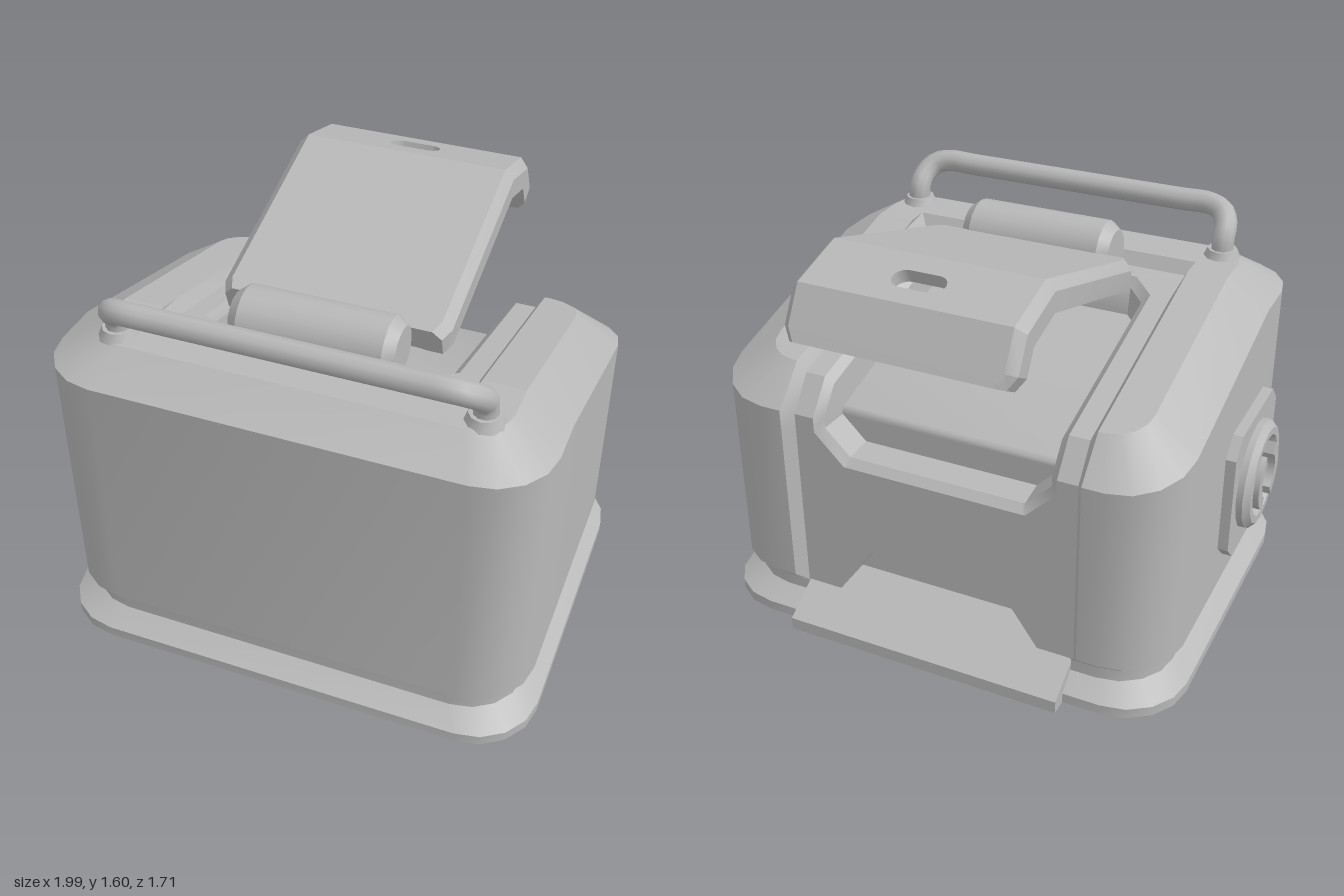
import * as THREE from 'three';
import { toCreasedNormals } from 'three/addons/utils/BufferGeometryUtils.js';

const grey = new THREE.MeshStandardMaterial({ color: 0xb8b8b8, side: THREE.DoubleSide });
grey.name = 'light grey';

function add(parent, name, geometry, crease = 0.6) {
  const mesh = new THREE.Mesh(toCreasedNormals(geometry, crease), grey);
  mesh.name = name;
  parent.add(mesh);
  return mesh;
}

// Skin between rows of [x, y, z] points
function loft(rows, closed = false, skip = () => false) {
  const n = rows[0].length, index = [];
  for (let i = 0; i < rows.length - 1; i++) {
    for (let j = 0; j < (closed ? n : n - 1); j++) {
      if (skip(i, j)) continue;
      const k = (j + 1) % n, a = i * n + j, b = i * n + k;
      index.push(a, b, a + n, b, b + n, a + n);
    }
  }
  const g = new THREE.BufferGeometry();
  g.setAttribute('position', new THREE.Float32BufferAttribute(rows.flat(2), 3));
  g.setIndex(index);
  return g;
}

// Half outline -> whole outline, mirrored in x
const mirror = (half) => [...half, ...half.slice().reverse().map(([x, ...r]) => [-x, ...r])];

// Heights of the flat-then-sloping top and of the shoulder line
const BREAK = 0.39;
const topY = (z) => 1.3 - 0.25 * Math.max(0, BREAK - z);
const shoulderY = (z) => 1.2 - 0.257 * Math.max(0, BREAK - z);

// Rounded rectangle ring, open at the back between x = -gap and gap
function ring(hx, zF, zB, r, height, gap = 0.6) {
  const half = [[gap, zB]];
  const corner = (cz, a0) => {
    for (let i = 0; i <= 4; i++) {
      const a = a0 + (i / 4) * Math.PI / 2;
      half.push([hx - r + r * Math.cos(a), cz + r * Math.sin(a)]);
    }
  };
  corner(zB + r, -Math.PI / 2);
  half.push([hx, BREAK]);
  corner(zF - r, 0);
  return mirror(half.map(([x, z]) => [x, height(z), z]));
}

// Sheet from an outline in x and z, raised to the top surface
function topSheet(points) {
  const g = new THREE.ShapeGeometry(new THREE.Shape(points.map(([x, z]) => new THREE.Vector2(x, z))));
  const p = g.attributes.position;
  for (let i = 0; i < p.count; i++) p.setXYZ(i, p.getX(i), topY(p.getY(i)), p.getY(i));
  return g;
}

const FOOT = 0.565;

function addBody(root) {
  add(root, 'base', loft([
    ring(0.96, 0.855, -0.685, 0.25, () => 0, FOOT),
    ring(0.96, 0.855, -0.685, 0.25, () => 0.04, FOOT),
    ring(0.885, 0.775, -0.61, 0.22, () => 0.095, FOOT),
    ring(0.885, 0.775, -0.61, 0.22, () => 0.145, FOOT),
    ring(0.925, 0.81, -0.65, 0.24, () => 0.185, FOOT),
  ]));
  const topRing = ring(0.755, 0.66, -0.51, 0.13, topY);
  add(root, 'bodyShell', loft([
    ring(0.925, 0.81, -0.65, 0.24, () => 0.185),
    ring(0.925, 0.81, -0.65, 0.24, shoulderY),
    topRing,
  ]));

  const flat = topRing.map(([x, , z]) => [x, z]);
  add(root, 'topFront', topSheet([...flat.filter((p) => p[1] >= BREAK),
    [-0.6, BREAK], [-0.6, 0.48], [0.6, 0.48], [0.6, BREAK]]));
  const side = [...flat.filter((p) => p[0] > 0 && p[1] <= BREAK), [0.6, BREAK]];
  for (const s of [1, -1]) add(root, 'topSide', topSheet(side.map(([x, z]) => [s * x, z])));
}

// Edge of the opening that wraps over the top and back
function opening(i, d) {
  const T = (z) => topY(z) - 0.05 - d, zb = -0.6 + d, zf = 0.37 - i, zs = 0.28 - 0.4 * i, w = 0.49 - i;
  return [
    [0, T(zf), zf], [0.4 - 0.4 * i, T(zf), zf], [w, T(zs), zs], [w, T(-0.5), -0.5 + 0.4 * d],
    [w, 0.9 - 0.2 * d, zb], [w, 0.84 + 0.4 * i, zb], [0.37 - 0.4 * i, 0.72 + i, zb],
    [0.36 - 0.4 * i, 0.72 + i, zb], [0.27, 0.72 + i, zb], [0, 0.72 + i, zb],
  ];
}

function addRecess(root) {
  const y = (z) => topY(z) - 0.05;
  const outer = [
    [0, 1.25, 0.45], [0.57, 1.25, 0.45], [0.57, y(0.28), 0.28], [0.57, y(-0.5), -0.5],
    [0.57, 0.9, -0.6], [0.57, 0.84, -0.6], [0.57, 0.13, -0.6],
    [0.43, 0.13, -0.6], [0.27, 0.36, -0.6], [0, 0.36, -0.6],
  ];
  const slot = [
    [0, 1.3, 0.48], [0.6, 1.3, 0.48], [0.6, topY(0.28), 0.28], [0.6, topY(-0.51), -0.51],
    [0.6, 0.93, -0.65], [0.6, 0.84, -0.65], [0.6, 0.185, -0.65],
  ];
  add(root, 'recessEdge', loft([mirror(slot), mirror(outer.slice(0, 7))], false, (i, j) => j === 6));
  add(root, 'recessCover', loft([mirror(outer), mirror(opening(0, 0))]));
  const deep = opening(0.04, 0.14);
  add(root, 'openingRim', loft([opening(0, 0), opening(0.03, 0.03), deep].map(mirror)));
  add(root, 'innerFloor', loft(deep.slice(1, 7).map(([x, py, z]) => [[-x, py, z], [x, py, z]])), 1.2);

  // Trapezoid notch above the foot plate
  const notch = mirror(outer.slice(7));
  const back = notch.map(([x, py, z]) => [x, py, z + 0.1]);
  add(root, 'notch', loft([notch, back, back.map(([x, , z]) => [x, 0.13, z])]));

  // Sloping foot plate, open underneath, running back into the notch
  add(root, 'footPlate', loft([[-0.5, 0.2, 0.12], [-0.61, 0.134, 0], [-0.75, 0.05, 0], [-0.75, 0, 0]]
    .map(([z, py, low]) => mirror([[FOOT, low, z], [FOOT, py, z]]))), 0.3);
}

function addLid(root) {
  const lid = new THREE.Group();
  lid.name = 'lid';
  root.add(lid);
  // Stations: z, y, depth of the underside, width factor
  const st = [
    [0.27, 1.36, 0.105, 0.95], [0.22, 1.3754, 0.05, 1], [-0.51, 1.6, 0.05, 1],
    [-0.75, 1.535, 0.05, 1], [-0.825, 1.404, 0.05, 1], [-0.85, 1.36, 0.105, 0.93],
  ];
  const normal = (a, b) => {
    const dz = b[0] - a[0], dy = b[1] - a[1], l = Math.hypot(dz, dy);
    return [dy / l, -dz / l];
  };
  const rows = st.map(([z, y, inner, f], i) => {
    const n1 = normal(st[Math.max(0, i - 1)], st[Math.max(1, i)]);
    const n2 = normal(st[Math.min(4, i)], st[Math.min(5, i + 1)]);
    const k = 1 + n1[0] * n2[0] + n1[1] * n2[1];
    const mz = (n1[0] + n2[0]) / k, my = (n1[1] + n2[1]) / k;
    return mirror([[0.4, 0], [0.435, 0.035], [0.435, 0.11], [0.37, 0.11], [0.37, inner]])
      .map(([x, d]) => [x * f, y - my * d, z - mz * d]);
  });
  add(lid, 'lidShell', loft(rows, true, (i, j) => i === 2 && (j === 4 || j === 9)), 0.4);
  for (const r of [rows[0], rows[5]]) {
    const mid = [0, 1, 2].map((k) => (r[0][k] + r[3][k] + r[6][k] + r[9][k]) / 4);
    add(lid, 'lidEnd', loft([r, r.map(() => mid)], true));
  }

  // Middle panel with a finger slot
  const a = new THREE.Vector3(0, st[2][1], st[2][0]), b = new THREE.Vector3(0, st[3][1], st[3][0]);
  const len = a.distanceTo(b), X = new THREE.Vector3(1, 0, 0);
  const Y = b.clone().sub(a).normalize(), Z = X.clone().cross(Y);
  const shape = new THREE.Shape([[-0.4, 0], [0.4, 0], [0.4, len], [-0.4, len]].map((p) => new THREE.Vector2(...p)));
  const hole = new THREE.Path();
  hole.absarc(0.055, 0.13, 0.045, -Math.PI / 2, Math.PI / 2, false);
  hole.absarc(-0.055, 0.13, 0.045, Math.PI / 2, Math.PI * 1.5, false);
  shape.holes.push(hole);
  const g = new THREE.ExtrudeGeometry(shape, { depth: 0.05, bevelEnabled: false, curveSegments: 6 });
  g.applyMatrix4(new THREE.Matrix4().makeBasis(X, Y, Z).setPosition(a.addScaledVector(Z, -0.05)));
  add(lid, 'lidSlotPanel', g);

  const profile = [[0, -0.31], [0.09, -0.31], [0.12, -0.27], [0.12, 0.27], [0.09, 0.31], [0, 0.31]];
  const barrel = new THREE.LatheGeometry(profile.map((p) => new THREE.Vector2(...p)), 16);
  add(root, 'hingeBarrel', barrel.rotateZ(Math.PI / 2).translate(0, 1.33, 0.37));
}

function addHandle(root) {
  const half = [[0.67, 1.29, 0.59], [0.67, 1.37, 0.592], [0.665, 1.415, 0.63], [0.635, 1.45, 0.67],
    [0.58, 1.465, 0.688], [0.45, 1.465, 0.688]];
  const curve = new THREE.CatmullRomCurve3(mirror(half).map((p) => new THREE.Vector3(...p)));
  add(root, 'handle', new THREE.TubeGeometry(curve, 60, 0.045, 10), 0.9);
  for (const s of [1, -1]) {
    add(root, 'handleFoot', new THREE.CylinderGeometry(0.058, 0.075, 0.04, 10).translate(s * 0.67, 1.31, 0.59));
  }
}

function addPort(root) {
  const port = new THREE.Group();
  port.name = 'sidePort';
  port.position.set(-0.92, 0.58, 0.23);
  port.rotation.y = -Math.PI / 2;
  root.add(port);
  const h = 0.27, c = 0.2;
  const plate = new THREE.Shape([[h, -c], [h, c], [c, h], [-c, h], [-h, c], [-h, -c], [-c, -h], [c, -h]]
    .map((p) => new THREE.Vector2(...p)));
  plate.holes.push(new THREE.Path().absarc(0, 0, 0.15, 0, Math.PI * 2, true));
  add(port, 'portPlate', new THREE.ExtrudeGeometry(plate, { depth: 0.045, bevelEnabled: false }));
  const profile = [[0.22, 0.04], [0.22, 0.07], [0.195, 0.095], [0.165, 0.095], [0.145, 0.07], [0.145, 0.01], [0, 0.01]];
  add(port, 'portRing', new THREE.LatheGeometry(profile.map((p) => new THREE.Vector2(...p)), 16).rotateX(Math.PI / 2));
  for (const s of [0, Math.PI]) {
    const arc = new THREE.Shape();
    arc.absarc(0, 0, 0.135, s - 1.1, s + 1.1, false);
    arc.absarc(0, 0, 0.085, s + 1.1, s - 1.1, true);
    add(port, 'portGrip', new THREE.ExtrudeGeometry(arc, { depth: 0.11, bevelEnabled: false, curveSegments: 8 }));
    const stub = new THREE.CylinderGeometry(0.14, 0.14, 0.12, 8, 1, true, s + 0.5, 2.1);
    add(port, 'portSocket', stub.rotateX(Math.PI / 2).translate(0, 0, -0.06));
  }
}

export function createModel() {
  const model = new THREE.Group();
  model.name = 'openCase';
  const root = new THREE.Group();
  root.name = 'case';
  root.position.x = 0.0375;
  model.add(root);
  addBody(root);
  addRecess(root);
  addLid(root);
  addHandle(root);
  addPort(root);
  return model;
}
